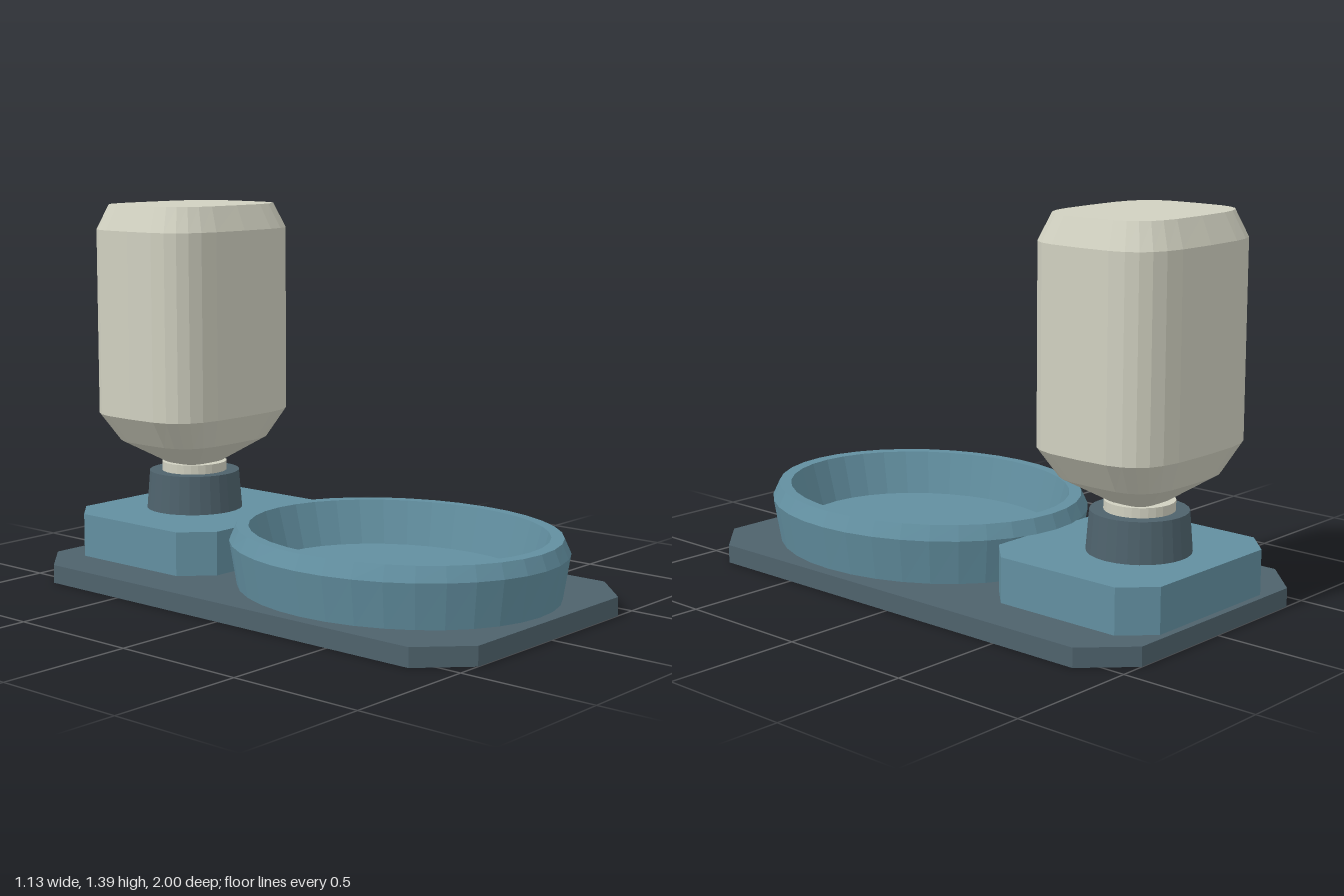
import * as THREE from 'three';

const dark = new THREE.MeshStandardMaterial({ color: 0x4e626c });
dark.name = 'slate';
const blue = new THREE.MeshStandardMaterial({ color: 0x628fa0 });
blue.name = 'dusty blue';
const cream = new THREE.MeshStandardMaterial({ color: 0xd0d0c0 });
cream.name = 'cream';

// Faceted solid through stacked superellipse rings [rx, rz, y], listed from the bottom up.
function loft(rings, segments, power = 2) {
  const bend = (v) => Math.sign(v) * Math.abs(v) ** (2 / power);
  const point = ([rx, rz, y], i) => {
    const a = ((i % segments) / segments) * Math.PI * 2;
    return [rx * bend(Math.cos(a)), y, rz * bend(Math.sin(a))];
  };
  const positions = [];
  for (let k = 0; k < rings.length - 1; k++) {
    const low = rings[k], high = rings[k + 1];
    for (let i = 0; i < segments; i++) {
      const a = point(low, i), b = point(low, i + 1);
      const c = point(high, i), d = point(high, i + 1);
      if (low[0] > 0) positions.push(...a, ...c, ...b);
      if (high[0] > 0) positions.push(...b, ...c, ...d);
    }
  }
  const geometry = new THREE.BufferGeometry();
  geometry.setAttribute('position', new THREE.Float32BufferAttribute(positions, 3));
  geometry.computeVertexNormals();
  return geometry;
}

// Upright slab with four cut corners.
function slab(hx, hz, cut, height) {
  const corners = [
    [hx - cut, -hz], [hx, cut - hz], [hx, hz - cut], [hx - cut, hz],
    [cut - hx, hz], [-hx, hz - cut], [-hx, cut - hz], [cut - hx, -hz],
  ];
  const shape = new THREE.Shape(corners.map(([x, z]) => new THREE.Vector2(x, z)));
  return new THREE.ExtrudeGeometry(shape, { depth: height, bevelEnabled: false }).rotateX(-Math.PI / 2);
}

export function createModel() {
  const model = new THREE.Group();
  model.name = 'pet feeder';
  const add = (name, geometry, material, y = 0, z = 0) => {
    const mesh = new THREE.Mesh(geometry, material);
    mesh.name = name;
    mesh.position.set(0, y, z);
    model.add(mesh);
  };
  const bottleZ = -0.663;

  add('base', slab(0.565, 1, 0.157, 0.068), dark);
  add('pedestal', slab(0.387, 0.352, 0.105, 0.162), blue, 0.068, -0.622);

  // Oval bowl: flared wall, bevelled rim, sloping inside and floor
  add('bowl', loft([
    [0, 0, 0.06], [0.515, 0.608, 0.06], [0.545, 0.635, 0.23], [0.517, 0.613, 0.283],
    [0.477, 0.565, 0.283], [0.437, 0.517, 0.122], [0, 0, 0.122],
  ], 36), blue, 0, 0.343);

  // Holder and neck under the bottle
  add('collar', loft([
    [0, 0, 0.225], [0.184, 0.184, 0.225], [0.172, 0.172, 0.375], [0, 0, 0.375],
  ], 28), dark, 0, bottleZ);
  add('neck', loft([
    [0, 0, 0.36], [0.124, 0.124, 0.36], [0.124, 0.124, 0.41], [0, 0, 0.41],
  ], 28), cream, 0, bottleZ);

  // Upside-down bottle with tapered shoulder and bevelled top
  add('bottle', loft([
    [0, 0, 0.405], [0.09, 0.08, 0.405], [0.257, 0.222, 0.5], [0.337, 0.275, 0.608],
    [0.337, 0.275, 1.303], [0.296, 0.235, 1.395], [0, 0, 1.395],
  ], 28, 3.6), cream, 0, bottleZ);

  return model;
}
